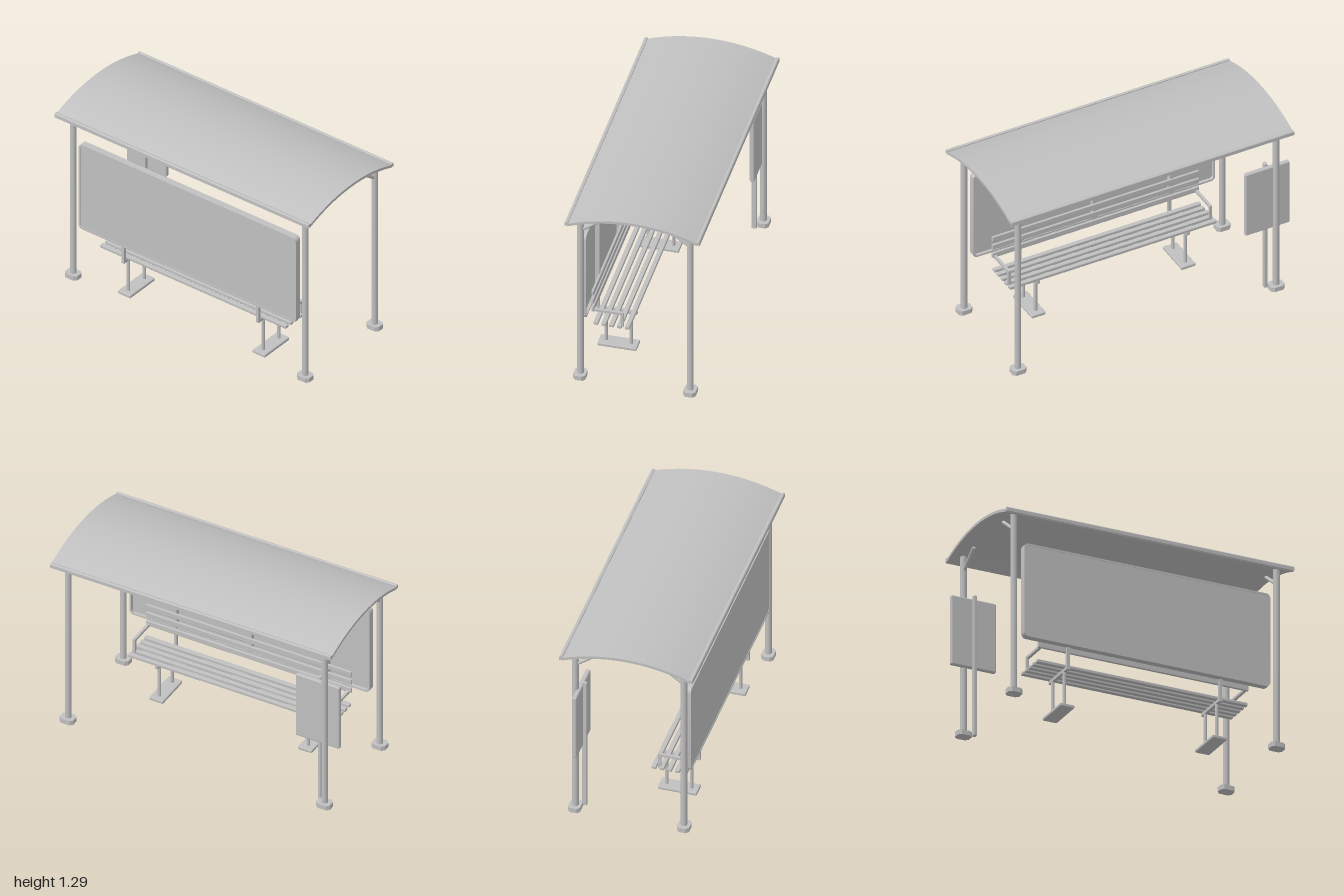
import * as THREE from 'three';
import { RoundedBoxGeometry } from 'three/addons/geometries/RoundedBoxGeometry.js';
import { toCreasedNormals } from 'three/addons/utils/BufferGeometryUtils.js';

const grey = new THREE.MeshStandardMaterial({ color: 0xc0c0c0 });
grey.name = 'painted steel';

export function createModel() {
  const model = new THREE.Group();
  model.name = 'shelter';

  const add = (name, geometry, parent = model) => {
    const mesh = new THREE.Mesh(geometry, grey);
    mesh.name = name;
    parent.add(mesh);
    return mesh;
  };
  // Box given by its minimum and maximum on each axis
  const box = (name, [x0, x1], [y0, y1], [z0, z1], parent, round = 0) => {
    const s = [x1 - x0, y1 - y0, z1 - z0];
    const g = round ? new RoundedBoxGeometry(...s, 2, round) : new THREE.BoxGeometry(...s);
    const mesh = add(name, g, parent);
    mesh.position.set((x0 + x1) / 2, (y0 + y1) / 2, (z0 + z1) / 2);
    return mesh;
  };
  // Round bar between two points
  const rod = (name, a, b, r, parent) => {
    const p = new THREE.Vector3(...a), q = new THREE.Vector3(...b);
    const d = q.clone().sub(p);
    const mesh = add(name, new THREE.CylinderGeometry(r, r, d.length(), 16), parent);
    mesh.position.copy(p).add(q).multiplyScalar(0.5);
    mesh.quaternion.setFromUnitVectors(new THREE.Vector3(0, 1, 0), d.normalize());
    return mesh;
  };
  const group = (name) => {
    const g = new THREE.Group();
    g.name = name;
    model.add(g);
    return g;
  };
  const roundedRect = (Type, w, h, r) => {
    const s = new Type(), x = w / 2 - r, y = h / 2 - r;
    s.absarc(x, y, r, 0, Math.PI / 2);
    s.absarc(-x, y, r, Math.PI / 2, Math.PI);
    s.absarc(-x, -y, r, Math.PI, Math.PI * 1.5);
    s.absarc(x, -y, r, Math.PI * 1.5, Math.PI * 2);
    s.closePath();
    return s;
  };
  const extrude = (shape, depth) =>
    new THREE.ExtrudeGeometry(shape, { depth, bevelEnabled: false, curveSegments: 6 });

  // Curved roof: a shallow arc section swept along x, with a bead on each long edge
  const roofX = [-0.985, 0.995];
  const R = 1.15, top = 1.295, thick = 0.018, half = Math.asin(0.418 / R);
  const section = new THREE.Shape();
  section.absarc(0, top - R, R, Math.PI / 2 - half, Math.PI / 2 + half, false);
  section.absarc(0, top - R, R - thick, Math.PI / 2 + half, Math.PI / 2 - half, true);
  section.closePath();
  const roofGeometry = new THREE.ExtrudeGeometry(section, {
    depth: roofX[1] - roofX[0], bevelEnabled: false, curveSegments: 32,
  });
  roofGeometry.rotateY(Math.PI / 2);
  roofGeometry.translate(roofX[0], 0, 0);
  const roof = group('roof');
  add('roofSheet', toCreasedNormals(roofGeometry, 0.5), roof);
  for (const s of [-1, 1]) {
    const bead = new THREE.Shape();
    bead.moveTo(s * 0.43, 1.2);
    bead.lineTo(s * 0.43, 1.222);
    bead.quadraticCurveTo(s * 0.425, 1.235, s * 0.408, 1.226);
    bead.lineTo(s * 0.408, 1.208);
    bead.closePath();
    const g = extrude(bead, roofX[1] - roofX[0]);
    g.rotateY(Math.PI / 2);
    g.translate(roofX[0], 0, 0);
    add('roofEdgeBead', g, roof);
  }

  // Four posts with chamfered feet and slanted roof braces
  const foot = new THREE.Shape();
  const fx = 0.048, fz = 0.039, c = 0.018;
  foot.setFromPoints([
    [fx, -fz + c], [fx, fz - c], [fx - c, fz], [-fx + c, fz],
    [-fx, fz - c], [-fx, -fz + c], [-fx + c, -fz], [fx - c, -fz],
  ].map(([x, y]) => new THREE.Vector2(x, y)));
  const footGeometry = extrude(foot, 0.032);
  footGeometry.rotateX(-Math.PI / 2);
  for (const x of [-0.9, 0.91]) {
    for (const s of [-1, 1]) {
      const post = group('cornerPost');
      rod('post', [x, 0, s * 0.35], [x, 1.225, s * 0.35], 0.021, post);
      add('postFoot', footGeometry, post).position.set(x, 0, s * 0.351);
      rod('roofBrace', [x, 1.13, s * 0.34], [x, 1.23, s * 0.205], 0.011, post);
    }
  }

  // Front wall: a panel inside a thin rounded rim, stiffened on the inside
  const wall = group('wall');
  const wallX = 0.0075, wallY = 0.718, w = 1.695, h = 0.632;
  const rim = roundedRect(THREE.Shape, w, h, 0.03);
  rim.holes.push(roundedRect(THREE.Path, w - 0.024, h - 0.024, 0.02));
  add('wallRim', toCreasedNormals(extrude(rim, 0.045), 0.6), wall).position.set(wallX, wallY, 0.33);
  add('wallPanel', extrude(roundedRect(THREE.Shape, w - 0.02, h - 0.02, 0.02), 0.022), wall)
    .position.set(wallX, wallY, 0.35);
  for (const x of [-0.535, 0.005, 0.535])
    box('wallStiffener', [x - 0.017, x + 0.017], [0.42, 1.0], [0.322, 0.352], wall);

  // Bench: five seat slats, three back slats, two trestles and two armrests
  const bench = group('bench');
  const benchX = [-0.72, 0.73];
  for (let i = 0; i < 5; i++) {
    const z = 0.1 + i * 0.05;
    box('seatSlat', benchX, [0.272, 0.294], [z - 0.015, z + 0.015], bench, 0.005);
  }
  for (const y of [0.387, 0.45, 0.51])
    box('backSlat', benchX, [y - 0.019, y + 0.019], [0.312, 0.328], bench, 0.005);
  for (const x of [-0.52, 0.53]) {
    box('benchBase', [x - 0.049, x + 0.049], [0, 0.022], [0.08, 0.33], bench, 0.006);
    box('seatBearer', [x - 0.01, x + 0.01], [0.252, 0.272], [0.085, 0.335], bench);
    box('backUpright', [x - 0.01, x + 0.01], [0.252, 0.53], [0.325, 0.342], bench);
    for (const z of [0.125, 0.285])
      rod('benchLeg', [x, 0.02, z], [x, 0.26, z], 0.011, bench);
  }
  for (const x of [-0.7, 0.712]) {
    box('armrest', [x - 0.009, x + 0.009], [0.369, 0.386], [0.125, 0.328], bench);
    box('armrestPost', [x - 0.009, x + 0.009], [0.28, 0.37], [0.125, 0.143], bench);
  }

  // Notice board on its own pole beside the rear post
  const notice = group('noticeBoard');
  box('noticePanel', [-1.0, -0.69], [0.465, 0.936], [-0.345, -0.314], notice, 0.01);
  box('noticePole', [-0.856, -0.834], [0, 0.952], [-0.322, -0.291], notice, 0.004);

  return model;
}
